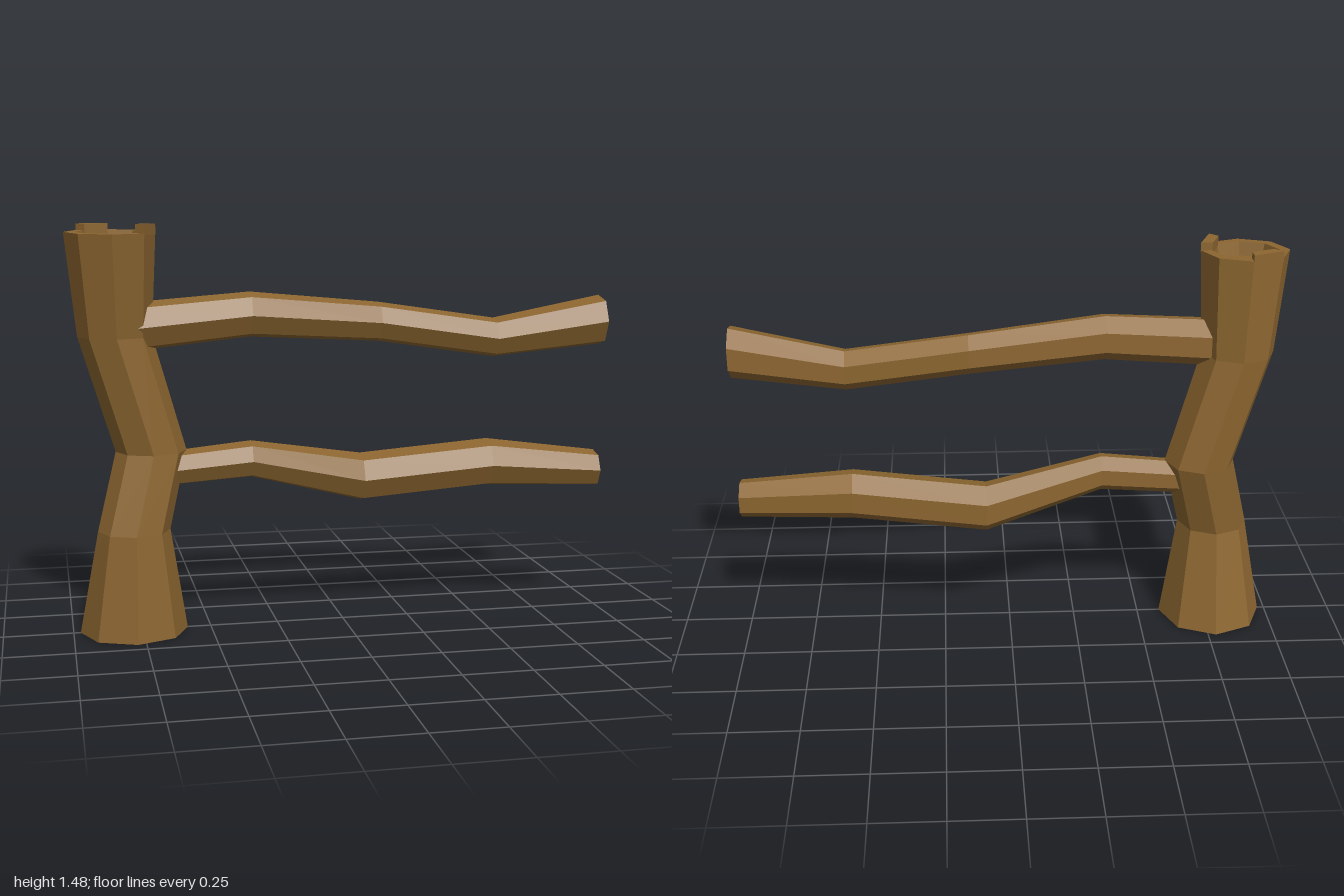
import * as THREE from 'three';

// Skins a list of equal-length point rings, with optional flat ends.
function loft(rings, capStart, capEnd) {
  const pos = [];
  const tri = (...pts) => pts.forEach((p) => pos.push(p.x, p.y, p.z));
  const n = rings[0].length;
  for (let i = 0; i < rings.length - 1; i++) {
    for (let j = 0; j < n; j++) {
      const k = (j + 1) % n, lo = rings[i], hi = rings[i + 1];
      tri(lo[j], hi[j], lo[k]);
      tri(lo[k], hi[j], hi[k]);
    }
  }
  const cap = (ring, flip) => {
    const c = ring.reduce((s, p) => s.add(p), new THREE.Vector3()).divideScalar(n);
    ring.forEach((p, j) => {
      const q = ring[(j + 1) % n];
      if (flip) tri(c, p, q);
      else tri(c, q, p);
    });
  };
  if (capStart) cap(rings[0], true);
  if (capEnd) cap(rings[rings.length - 1], false);
  const geo = new THREE.BufferGeometry();
  geo.setAttribute('position', new THREE.Float32BufferAttribute(pos, 3));
  geo.computeVertexNormals();
  return geo;
}

// One corner of a horizontal post ring.
function postPoint(x, y, z, r, j) {
  const a = (j * Math.PI) / 4;
  return new THREE.Vector3(x + r * Math.cos(a), y, z + r * Math.sin(a));
}

// Ring across the length of a rail.
function railRing([x, y, z, r], sides = 7) {
  return Array.from({ length: sides }, (_, j) => {
    const a = (j / sides) * Math.PI * 2;
    return new THREE.Vector3(x, y + r * Math.sin(a), z + r * Math.cos(a));
  });
}

export function createModel() {
  const group = new THREE.Group();
  const wood = new THREE.MeshStandardMaterial({ color: 0x8c6630, side: THREE.DoubleSide, flatShading: true });
  wood.name = 'wood brown';
  const add = (name, geo) => {
    const mesh = new THREE.Mesh(geo, wood);
    mesh.name = name;
    group.add(mesh);
  };

  // Crooked post: up the outside, over the rim, down into the hollow top
  const postRings = [
    [-0.78, 0, 0, 0.195],
    [-0.775, 0.38, 0.03, 0.13],
    [-0.705, 0.66, -0.027, 0.128],
    [-0.828, 1.08, 0, 0.132],
    [-0.84, 1.45, 0.035, 0.16],
    [-0.84, 1.45, 0.035, 0.122],
    [-0.84, 1.4, 0.035, 0.11],
  ].map(([x, y, z, r]) => Array.from({ length: 8 }, (_, j) => postPoint(x, y, z, r, j)));
  // slight tilt of the rim
  for (const ring of postRings.slice(4)) ring.forEach((p) => { p.y -= (p.z - 0.035) * 0.04; });
  add('post', loft(postRings, true, true));

  // Raised splinters left on the rim
  for (const j of [0, 5]) {
    const ring = (y) => [[0.16, j], [0.16, j + 1], [0.118, j + 1], [0.118, j]]
      .map(([r, k]) => postPoint(-0.84, y, 0.035, r, k));
    add('rimSplinter', loft([ring(1.44), ring(1.478)], true, true));
  }

  // Open-ended crooked rails: x, y, z, radius
  const rails = {
    upperRail: [
      [-0.8, 1.11, 0.02, 0.09], [-0.34, 1.15, -0.012, 0.084], [0.15, 1.112, -0.063, 0.075],
      [0.59, 1.048, -0.035, 0.075], [1, 1.11, -0.003, 0.096],
    ],
    lowerRail: [
      [-0.72, 0.585, -0.02, 0.063], [-0.34, 0.617, -0.02, 0.069], [0.09, 0.52, -0.098, 0.092],
      [0.58, 0.565, -0.065, 0.092], [1, 0.535, -0.025, 0.071],
    ],
  };
  for (const [name, path] of Object.entries(rails)) {
    add(name, loft(path.map((p) => railRing(p)), false, false));
  }
  return group;
}
